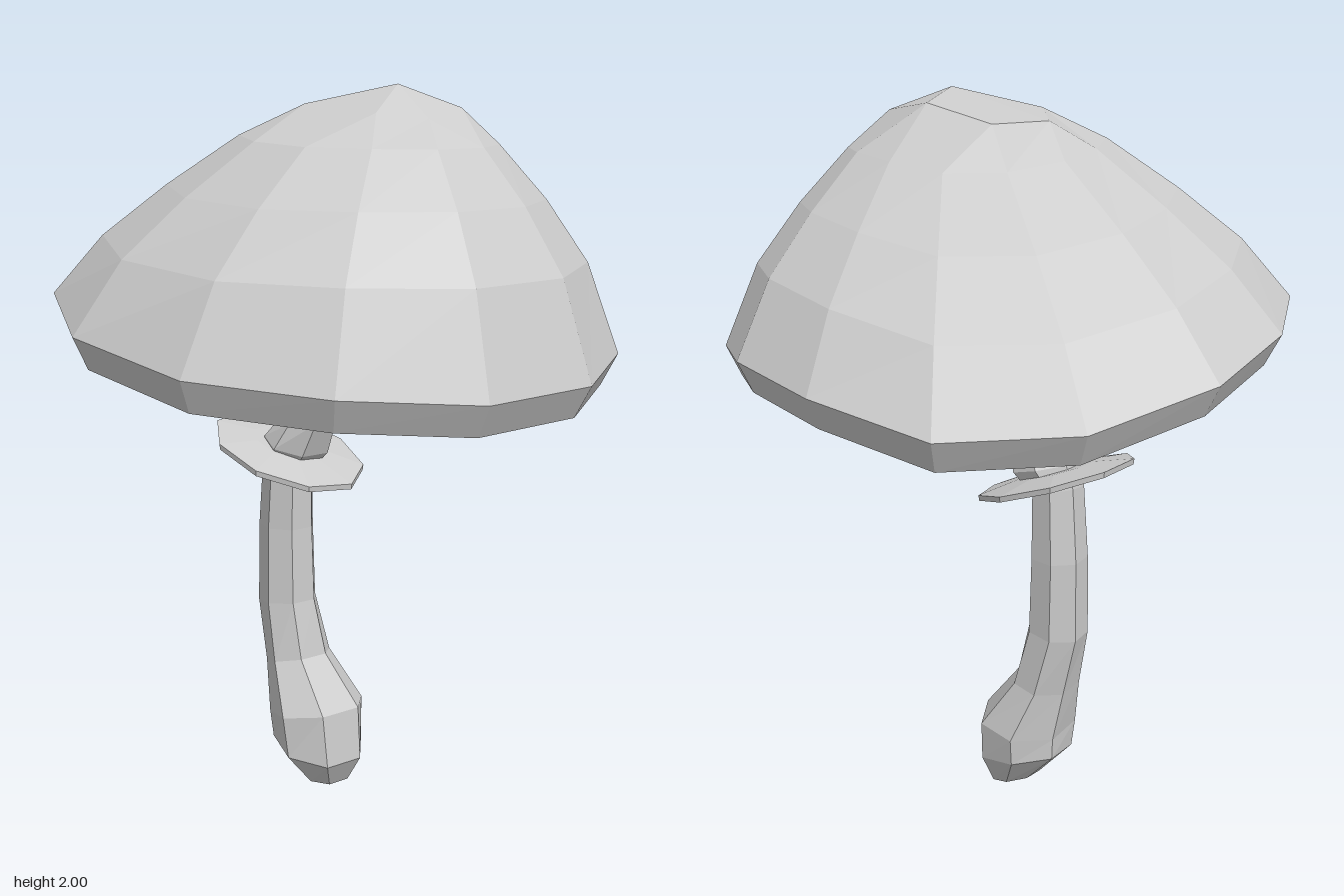
import * as THREE from 'three';

const V = (x, y, z) => new THREE.Vector3(x, y, z);

// Skin a list of rings from bottom to top. Neighbouring rings may differ in
// point count by a whole factor; a ring of one point closes an end.
function loft(name, rings) {
  const pos = [];
  const tri = (...pts) => pts.forEach((p) => pos.push(p.x, p.y, p.z));
  for (let k = 0; k < rings.length - 1; k++) {
    const lo = rings[k], hi = rings[k + 1];
    const n = Math.max(lo.length, hi.length);
    const pick = (r, i) => r[Math.floor((i % n) * r.length / n)];
    for (let i = 0; i < n; i++) {
      const a = pick(lo, i), b = pick(lo, i + 1);
      const c = pick(hi, i), d = pick(hi, i + 1);
      if (a !== b) tri(a, c, b);
      if (c !== d) tri(b, c, d);
    }
  }
  const geo = new THREE.BufferGeometry();
  geo.setAttribute('position', new THREE.Float32BufferAttribute(pos, 3));
  geo.computeVertexNormals();
  const mat = new THREE.MeshStandardMaterial({ color: 0xcccccc, flatShading: true });
  const mesh = new THREE.Mesh(geo, mat);
  mesh.name = name;
  return mesh;
}

// Elliptical ring whose plane leans by tx along x and tz along z.
function ring(n, x, y, z, rx, rz = rx, tx = 0, tz = 0) {
  return Array.from({ length: n }, (_, i) => {
    const a = (i + 0.5) / n * Math.PI * 2;
    const dx = Math.cos(a) * rx, dz = Math.sin(a) * rz;
    return V(x + dx, y + dx * tx + dz * tz, z + dz);
  });
}

function createCap() {
  // Wavy outer edge
  const rim = [
    [-0.25, 1.36, -0.73], [0.05, 1.385, -0.77], [0.33, 1.35, -0.68], [0.58, 1.31, -0.49],
    [0.77, 1.285, -0.2], [0.78, 1.28, 0.14], [0.6, 1.3, 0.45], [0.32, 1.33, 0.69],
    [-0.06, 1.39, 0.77], [-0.4, 1.455, 0.65], [-0.65, 1.44, 0.39], [-0.78, 1.39, 0.08],
    [-0.75, 1.325, -0.28], [-0.55, 1.305, -0.57],
  ].map((p) => V(...p));
  // Uneven facets around the peak
  const crown = [
    [0.04, 1.98, -0.22], [0.27, 1.94, -0.2], [0.33, 1.915, -0.04], [0.27, 1.93, 0.08],
    [0.02, 1.95, 0.12], [-0.13, 1.935, 0.04], [-0.14, 1.94, -0.14],
  ].map((p) => V(...p));
  const apex = V(0.18, 2, -0.06), root = V(-0.09, 1.27, 0.015);
  const lip = rim.map((p) => V(p.x * 0.94, p.y - 0.085, p.z * 0.95));
  const under = lip.map((p) => p.clone().lerp(root, 0.5));
  // Dome rings: [distance from apex, height], fuller towards +x
  const dome = [[0.85, 0.31], [0.66, 0.55], [0.45, 0.77]].map(([s, f]) =>
    rim.map((p) => {
      const q = apex.clone().lerp(p, s);
      q.y = p.y + (apex.y - p.y) * (f + 0.8 * p.x * s ** 4 * (1 - s));
      return q;
    }));
  return loft('cap', [[root], under, lip, rim, ...dome, crown, [apex]]);
}

function createStem() {
  // x, y, z, x radius, z radius, lean
  const sections = [
    [-0.045, 0.015, 0, 0.055, 0.075, -0.2],
    [-0.07, 0.11, 0.015, 0.135, 0.135, -0.2],
    [-0.08, 0.22, 0.015, 0.128, 0.145, 0.15],
    [-0.145, 0.365, 0.035, 0.083, 0.1, 0.2],
    [-0.18, 0.535, 0.047, 0.087, 0.085, 0.1],
    [-0.185, 0.76, 0.045, 0.082, 0.08, 0],
    [-0.175, 0.95, 0.045, 0.073, 0.073, -0.3],
    [-0.14, 1.01, 0.035, 0.09, 0.1, -0.3],
    [-0.11, 1.075, 0.025, 0.1, 0.08, 0.1],
    [-0.105, 1.21, 0.03, 0.07, 0.072, 0],
    [-0.085, 1.268, 0.02, 0.19, 0.18, -0.05],
  ].map((s) => ring(7, ...s));
  return loft('stem', [[V(-0.03, 0, 0)], ...sections, [V(-0.09, 1.28, 0.015)]]);
}

// Thin tilted skirt around the stem
function createSkirt() {
  const disc = (y, r) => ring(9, -0.165, y, 0.05, r, r, -0.34, 0.1);
  return loft('skirt', [
    [V(-0.165, 0.96, 0.05)], disc(0.96, 0.1), disc(0.972, 0.212),
    disc(0.988, 0.214), disc(1.005, 0.1), [V(-0.165, 1.005, 0.05)],
  ]);
}

export function createModel() {
  const group = new THREE.Group();
  group.name = 'mushroom';
  group.add(createCap(), createStem(), createSkirt());
  return group;
}
